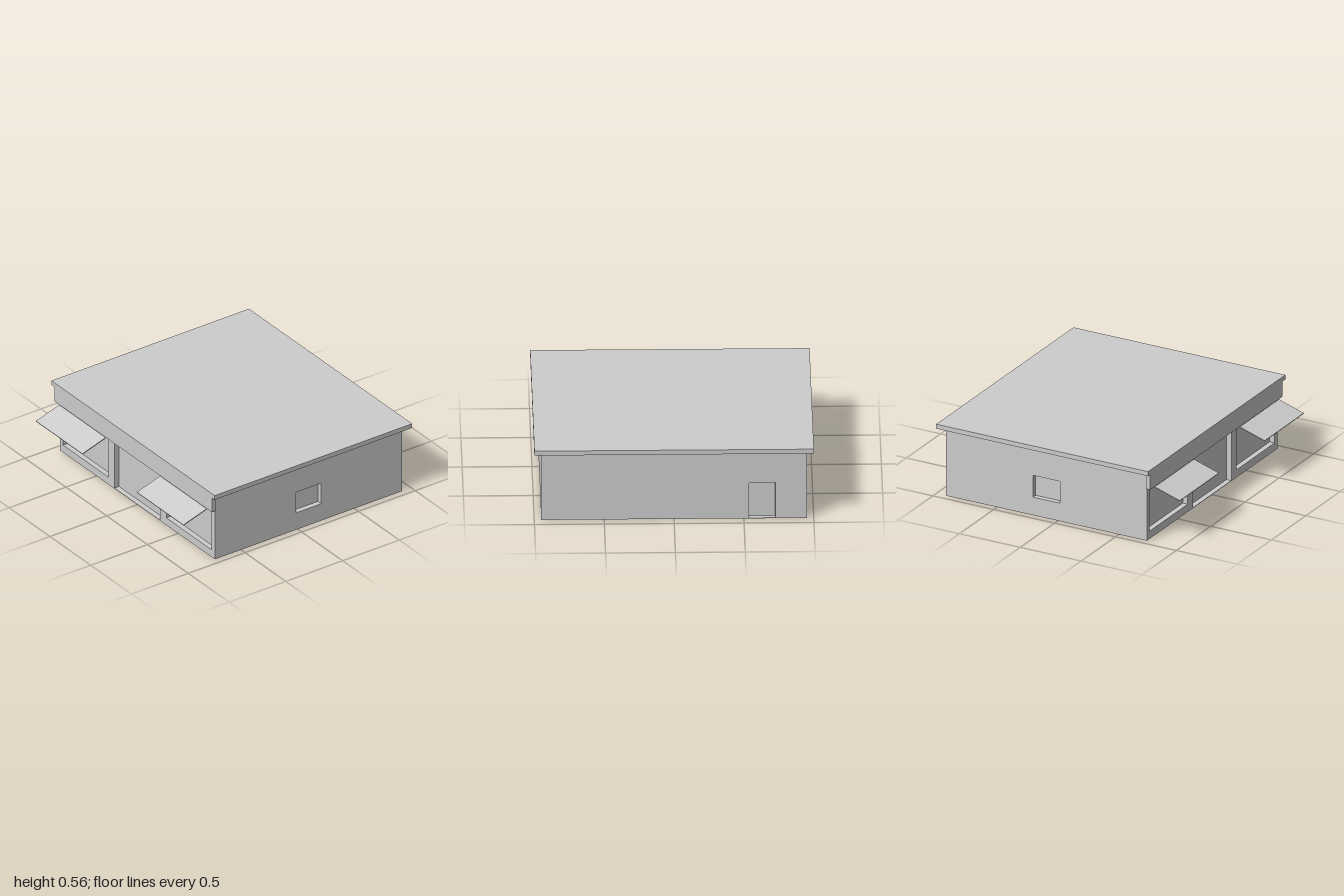
import * as THREE from 'three';

const grey = new THREE.MeshStandardMaterial({ color: 0xcccccc });
grey.name = 'light grey';

const DEPTH = 0.04;           // depth of window and door recesses
const HALF_W = 0.95;          // half width of the walls
const FRONT = 0.73, BACK = -0.92;
const BASE = 0.004, WALL_TOP = 0.53;

// Box given by its minimum and maximum on each axis
function box(name, x0, x1, y0, y1, z0, z1) {
  const mesh = new THREE.Mesh(new THREE.BoxGeometry(x1 - x0, y1 - y0, z1 - z0), grey);
  mesh.position.set((x0 + x1) / 2, (y0 + y1) / 2, (z0 + z1) / 2);
  mesh.name = name;
  return mesh;
}

function rectPoints(x0, x1, y0, y1) {
  return [[x0, y0], [x1, y0], [x1, y1], [x0, y1]].map(([x, y]) => new THREE.Vector2(x, y));
}

// Wall slab in the xy plane: an outline with rectangular holes
function wall(name, outline, holes) {
  const shape = new THREE.Shape(outline);
  for (const h of holes) shape.holes.push(new THREE.Path(rectPoints(...h).reverse()));
  const geo = new THREE.ExtrudeGeometry(shape, { depth: DEPTH, bevelEnabled: false });
  const mesh = new THREE.Mesh(geo, grey);
  mesh.name = name;
  return mesh;
}

// Wall outline with a doorway cut up from the bottom edge
function doorwayOutline(d0, d1, top) {
  return [
    [-HALF_W, BASE], [d0, BASE], [d0, top], [d1, top], [d1, BASE],
    [HALF_W, BASE], [HALF_W, WALL_TOP], [-HALF_W, WALL_TOP],
  ].map(([x, y]) => new THREE.Vector2(x, y));
}

export function createModel() {
  const model = new THREE.Group();
  model.name = 'shopBuilding';

  // Floor slab, and the inner core whose faces are the recessed panels
  model.add(box('floorSlab', -HALF_W, HALF_W, 0, BASE, BACK, FRONT));
  model.add(box('recessPanels', -HALF_W + DEPTH, HALF_W - DEPTH, BASE, WALL_TOP, BACK + DEPTH, FRONT - DEPTH));

  // Front wall: wide entrance between two shop windows
  const front = wall('frontWall', doorwayOutline(-0.28, 0.28, 0.41),
    [[-0.91, -0.355, 0.06, 0.41], [0.355, 0.91, 0.06, 0.41]]);
  front.position.z = FRONT - DEPTH;
  model.add(front);

  // Back wall: small door towards the right
  const back = wall('backWall', doorwayOutline(-0.725, -0.535, 0.28), []);
  back.position.z = BACK;
  model.add(back);

  // Side walls, each with one small window
  const z0 = BACK + DEPTH, z1 = FRONT - DEPTH;
  for (const side of [1, -1]) {
    const outline = side > 0 ? rectPoints(-z1, -z0, BASE, WALL_TOP) : rectPoints(z0, z1, BASE, WALL_TOP);
    const hole = side > 0 ? [-0.015, 0.207, 0.14, 0.31] : [-0.207, 0.015, 0.14, 0.31];
    const mesh = wall(side > 0 ? 'leftWall' : 'rightWall', outline, [hole]);
    mesh.rotation.y = side * Math.PI / 2;
    mesh.position.x = side * (HALF_W - DEPTH);
    model.add(mesh);
  }

  // Overhanging flat roof and the sign band below its front edge
  model.add(box('roof', -1, 1, WALL_TOP, 0.565, -0.973, 0.768));
  model.add(box('frontFascia', -0.965, 0.965, 0.41, WALL_TOP, FRONT, 0.766));

  // Sloping awnings over the shop windows
  const dz = 0.205, dy = -0.064;
  for (const side of [1, -1]) {
    const awning = new THREE.Mesh(new THREE.BoxGeometry(0.57, 0.007, Math.hypot(dz, dy)), grey);
    awning.name = side > 0 ? 'leftAwning' : 'rightAwning';
    awning.position.set(side * 0.619, 0.376, 0.768 + dz / 2);
    awning.rotation.x = Math.atan2(-dy, dz);
    model.add(awning);
  }

  return model;
}
